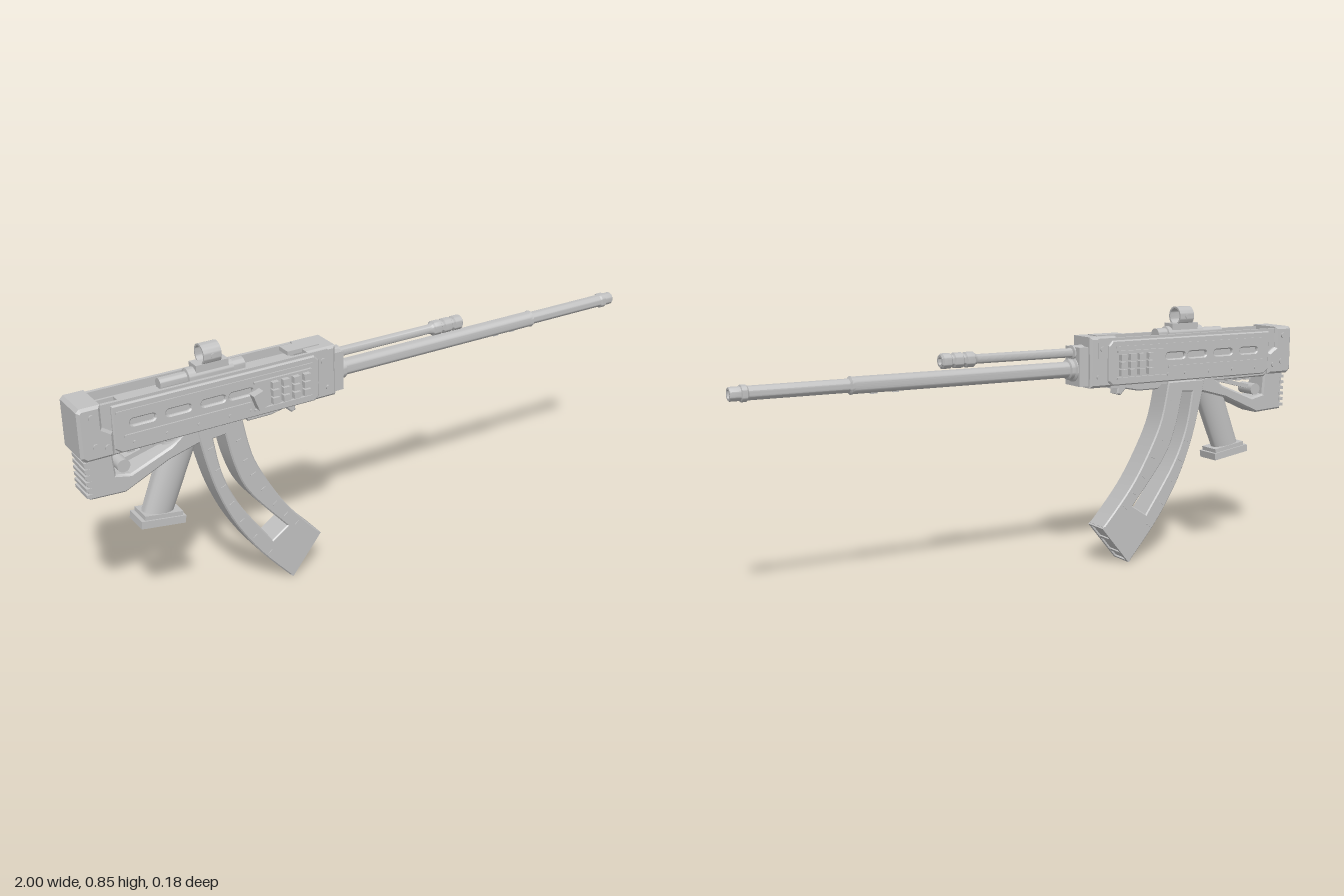
import * as THREE from 'three';
import { toCreasedNormals } from 'three/addons/utils/BufferGeometryUtils.js';

const steel = new THREE.MeshStandardMaterial({ color: 0xc0c0c0 });
steel.name = 'steel grey';

const vec = (pts) => pts.map(([x, y]) => new THREE.Vector2(x, y));

export function createModel() {
  const model = new THREE.Group();
  model.name = 'propRifle';
  const body = new THREE.Group();
  body.name = 'assembly';
  body.position.z = -0.012;
  model.add(body);

  function add(name, geometry, x = 0, y = 0, z = 0, parent = body) {
    const mesh = new THREE.Mesh(geometry, steel);
    mesh.name = name;
    mesh.position.set(x, y, z);
    parent.add(mesh);
    return mesh;
  }
  // Box given by its x and y limits, its width and its middle z
  const box = (name, x0, x1, y0, y1, w, z = 0) =>
    add(name, new THREE.BoxGeometry(x1 - x0, y1 - y0, w), (x0 + x1) / 2, (y0 + y1) / 2, z);

  // Bevelled plate in the xy plane, centred on z
  function plate(name, shape, w, bevel, z = 0) {
    const g = new THREE.ExtrudeGeometry(shape, {
      depth: w - 2 * bevel, bevelEnabled: bevel > 0, bevelThickness: bevel,
      bevelSize: bevel, bevelOffset: -bevel, bevelSegments: 1, curveSegments: 8,
    });
    g.translate(0, 0, -w / 2 + bevel);
    return add(name, toCreasedNormals(g, 0.5), 0, 0, z);
  }
  // Turned part along x from [x, radius] points
  function turned(name, pts, y, z = 0) {
    const g = new THREE.LatheGeometry(vec(pts.map(([x, r]) => [r, x])), 32);
    g.rotateZ(-Math.PI / 2);
    return add(name, toCreasedNormals(g, 0.6), 0, y, z);
  }
  // Round stud pointing sideways
  function stud(name, x, y, z, r, len) {
    const g = new THREE.CylinderGeometry(r, r, len, 16);
    g.rotateX(Math.PI / 2);
    return add(name, g, x, y, z);
  }

  // Receiver: a trough closed by end blocks
  box('receiverFloor', -0.95, -0.17, 0.61, 0.715, 0.1);
  for (const s of [-1, 1]) {
    box('receiverWall', -0.95, -0.2, 0.7, 0.765, 0.012, s * 0.05);
    box('innerRail', -0.93, -0.25, 0.712, 0.742, 0.008, s * 0.032);
  }
  const rear = new THREE.Shape(vec([[-1, 0.62], [-0.985, 0.607], [-0.9, 0.607], [-0.9, 0.68],
    [-0.93, 0.7], [-0.93, 0.77], [-0.99, 0.77], [-1, 0.76]]));
  plate('rearBlock', rear, 0.13, 0.008);
  const front = new THREE.Shape(vec([[-0.27, 0.615], [-0.25, 0.605], [-0.17, 0.605], [-0.17, 0.77],
    [-0.27, 0.77]]));
  plate('frontBlock', front, 0.11, 0.008);
  box('frontCollarBlock', -0.17, -0.135, 0.612, 0.738, 0.085);
  box('topBridge', -0.32, -0.21, 0.76, 0.773, 0.05);
  box('boltCarrier', -0.86, -0.3, 0.71, 0.748, 0.034);

  // Side plates with slots, vents, rails and studs
  for (const s of [-1, 1]) {
    const side = new THREE.Shape(vec([[-0.9, 0.625], [-0.88, 0.61], [-0.25, 0.61], [-0.235, 0.625],
      [-0.235, 0.74], [-0.25, 0.757], [-0.9, 0.757]]));
    for (const cx of [-0.81, -0.7, -0.59, -0.5]) {
      const h = new THREE.Path();
      h.absarc(cx + 0.028, 0.695, 0.01, -Math.PI / 2, Math.PI / 2, false);
      h.absarc(cx - 0.028, 0.695, 0.01, Math.PI / 2, Math.PI * 1.5, false);
      side.holes.push(h);
    }
    plate('sidePlate', side, 0.014, 0.004, s * 0.057);
    box('sideRidge', -0.87, -0.47, 0.655, 0.663, 0.006, s * 0.066);
    box('upperRidge', -0.89, -0.26, 0.732, 0.738, 0.005, s * 0.065);
    for (let i = 0; i < 4; i++) {
      const x = -0.392 + i * 0.036;
      for (let j = 0; j < 3; j++) {
        box('ventRib', x - 0.011, x + 0.011, 0.642 + j * 0.025, 0.662 + j * 0.025, 0.02, s * 0.07);
      }
    }
    for (const y of [0.63, 0.717]) box('ventFrame', -0.46, -0.265, y, y + 0.006, 0.01, s * 0.067);
    for (const x of [-0.84, -0.74, -0.64, -0.54, -0.47]) stud('rivet', x, 0.635, s * 0.065, 0.005, 0.006);
    for (const [x, y] of [[-0.96, 0.74], [-0.92, 0.64], [-0.955, 0.65]]) stud('rearPin', x, y, s * 0.064, 0.009, 0.012);
    stud('frontPin', -0.215, 0.73, s * 0.055, 0.009, 0.01);
    stud('frontLowerPin', -0.2, 0.64, s * 0.055, 0.007, 0.01);
  }

  // Side handle
  stud('handleStem', -0.455, 0.675, 0.078, 0.012, 0.035);
  const handle = box('handleKnob', -0.472, -0.438, 0.65, 0.702, 0.026, 0.089);
  handle.rotation.z = 0.35;

  // Underside rail and catch
  box('lowerRail', -0.87, -0.26, 0.598, 0.612, 0.07);
  for (let i = 0; i < 7; i++) box('lowerRailTooth', -0.85 + i * 0.04, -0.828 + i * 0.04, 0.588, 0.6, 0.06);
  plate('magazineCatch', new THREE.Shape(vec([[-0.48, 0.6], [-0.46, 0.58], [-0.38, 0.58], [-0.33, 0.59],
    [-0.31, 0.57], [-0.295, 0.575], [-0.3, 0.605]])), 0.046, 0.004);

  // Lower stock with an open triangle, strut and ribbed pad
  const stock = new THREE.Shape(vec([[-0.985, 0.615], [-0.978, 0.478], [-0.87, 0.472], [-0.73, 0.535],
    [-0.6, 0.57], [-0.6, 0.612]]));
  stock.holes.push(new THREE.Path(vec([[-0.9, 0.597], [-0.895, 0.535], [-0.85, 0.525], [-0.72, 0.577], [-0.69, 0.597]])));
  plate('lowerStock', stock, 0.085, 0.006);
  for (let i = 0; i < 6; i++) box('stockRib', -0.988, -0.97, 0.487 + i * 0.02, 0.497 + i * 0.02, 0.088);
  stud('stockPivot', -0.868, 0.553, 0, 0.02, 0.07);
  const strut = add('stockStrut', new THREE.BoxGeometry(0.15, 0.014, 0.03), -0.8, 0.575, 0);
  strut.rotation.z = 0.25;

  // Grip: sheared oval column with a flared foot
  const grip = new THREE.CylinderGeometry(0.058, 0.052, 0.28, 28, 1);
  const p = grip.attributes.position;
  for (let i = 0; i < p.count; i++) p.setXYZ(i, p.getX(i) + 0.41 * p.getY(i), p.getY(i), p.getZ(i) * 0.66);
  grip.computeVertexNormals();
  add('grip', toCreasedNormals(grip, 0.7), -0.715, 0.48, 0);
  const foot = add('gripFoot', new THREE.BoxGeometry(0.142, 0.024, 0.085), -0.763, 0.339, 0);
  foot.rotation.z = -0.15;
  const lip = add('gripFootCollar', new THREE.BoxGeometry(0.122, 0.016, 0.075), -0.759, 0.356, 0);
  lip.rotation.z = -0.15;

  // Curved magazine with a long opening
  const rearEdge = [[-0.64, 0.605], [-0.612, 0.479], [-0.58, 0.372], [-0.527, 0.254], [-0.447, 0.131], [-0.34, 0.006]];
  const frontEdge = [[-0.233, 0.136], [-0.291, 0.2], [-0.356, 0.281], [-0.42, 0.388], [-0.463, 0.484], [-0.489, 0.605]];
  const slotRear = [[-0.588, 0.565], [-0.564, 0.441], [-0.511, 0.318], [-0.404, 0.16]];
  const slotFront = [[-0.35, 0.195], [-0.473, 0.345], [-0.521, 0.452], [-0.548, 0.568]];
  const smooth = (pts, n) => new THREE.SplineCurve(vec(pts)).getPoints(n);
  const mag = new THREE.Shape([...smooth(rearEdge, 20), ...smooth(frontEdge, 20)]);
  mag.holes.push(new THREE.Path([...smooth(slotRear, 14), ...smooth(slotFront, 14)]));
  plate('magazine', mag, 0.088, 0.004);

  // Small raised marks along both edges of the magazine
  for (const [edge, dx] of [[rearEdge, 0.026], [[...frontEdge].reverse(), -0.03]]) {
    const curve = new THREE.SplineCurve(vec(edge));
    for (let i = 1; i < 8; i++) {
      const q = curve.getPoint(i / 8.6);
      for (const s of [-1, 1]) {
        const tick = box('magazineMark', q.x + dx - 0.009, q.x + dx + 0.009, q.y - 0.002, q.y + 0.002, 0.004, s * 0.0445);
        tick.rotation.z = 0.2 + i * 0.07;
      }
    }
  }

  // Magazine base: raised frame and cross bars
  const base = new THREE.Group();
  base.name = 'magazineBase';
  base.position.set(-0.2865, 0.071, 0);
  base.rotation.z = Math.atan2(0.13, 0.107);
  body.add(base);
  for (const s of [-1, 1]) {
    add('baseEdge', new THREE.BoxGeometry(0.166, 0.01, 0.012), 0, -0.001, s * 0.038, base);
    add('baseEnd', new THREE.BoxGeometry(0.008, 0.01, 0.066), s * 0.079, -0.001, 0, base);
  }
  for (const x of [-0.045, 0.02]) add('baseBar', new THREE.BoxGeometry(0.012, 0.008, 0.066), x, -0.001, 0, base);

  // Barrel with a stepped collar, slim front and open muzzle
  turned('barrel', [[-0.17, 0], [-0.17, 0.04], [-0.132, 0.04], [-0.128, 0.033], [-0.115, 0.033], [-0.112, 0.026],
    [0.625, 0.026], [0.635, 0.028], [0.64, 0.021], [0.945, 0.021], [0.95, 0.025], [0.965, 0.025],
    [0.967, 0.021], [0.997, 0.021], [1, 0.019], [1, 0.013], [0.95, 0.013], [0.95, 0]], 0.665);
  for (const x of [0.48, 0.55]) box('barrelLug', x, x + 0.02, 0.636, 0.645, 0.012);

  // Upper tube with ringed end
  const tube = [[-0.18, 0], [-0.18, 0.024], [-0.13, 0.024], [-0.128, 0.015], [0.215, 0.015]];
  for (let i = 0; i < 3; i++) {
    const x = 0.225 + i * 0.04;
    tube.push([x, 0.019], [x + 0.004, 0.024], [x + 0.03, 0.024], [x + 0.034, 0.019]);
  }
  tube.push([0.34, 0.019], [0.34, 0.012], [0.32, 0.012], [0.32, 0]);
  turned('upperTube', tube, 0.719);

  // Sight: rounded base, post and ring
  turned('sightTube', [[-0.73, 0], [-0.73, 0.018], [-0.645, 0.018], [-0.643, 0.027], [-0.5, 0.027], [-0.498, 0.022],
    [-0.46, 0.022], [-0.46, 0]], 0.76);
  box('sightBase', -0.62, -0.515, 0.775, 0.797, 0.046);
  turned('sightRing', [[-0.597, 0.026], [-0.597, 0.032], [-0.54, 0.032], [-0.54, 0.026], [-0.597, 0.026]], 0.82);
  box('sightPost', -0.572, -0.564, 0.79, 0.828, 0.006);
  for (const s of [-1, 1]) stud('sightScrew', -0.568, 0.82, s * 0.032, 0.007, 0.004);

  return model;
}
